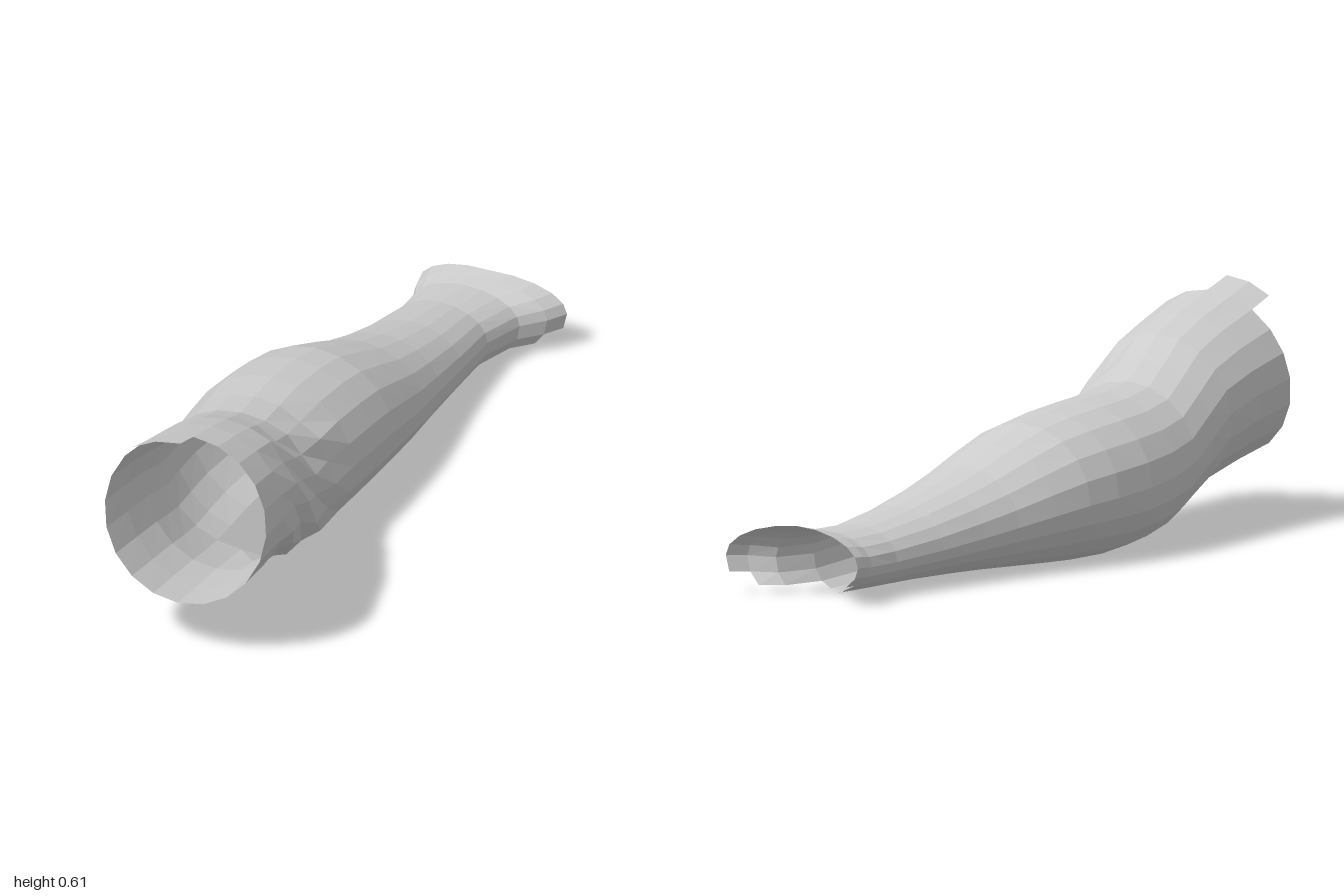
import * as THREE from 'three';

const SIDES = 20;

// Ring positions from the wide open end to the flared end
const ROWS = [0.95, 0.8, 0.66, 0.54, 0.42, 0.3, 0.17, 0.03, -0.08, -0.2, -0.32, -0.44, -0.6, -0.78, -0.9, -0.95, -0.975];

// Key sections: left x, right x, top y, middle y, bottom y
const SECTION_Z = [0.95, 0.66, 0.42, 0.17, -0.08, -0.32, -0.6, -0.9, -0.975];
const SECTIONS = [
  [-0.16, 0.305, 0.597, 0.38, 0.157],
  [-0.19, 0.25, 0.515, 0.325, 0.105],
  [-0.255, 0.19, 0.422, 0.23, 0.025],
  [-0.3, 0.167, 0.403, 0.195, 0.0],
  [-0.29, 0.155, 0.372, 0.175, 0.005],
  [-0.24, 0.13, 0.285, 0.14, 0.015],
  [-0.205, 0.095, 0.214, 0.11, 0.022],
  [-0.2, 0.11, 0.184, 0.1, 0.02],
  [-0.23, 0.197, 0.2, 0.11, 0.02],
];
const profile = new THREE.CubicInterpolant(SECTION_Z.map((z) => -z), SECTIONS.flat(), 5);

// Underside slot: from this z backwards, columns [from, to) are open
const SLOT = [[0.42, -1, 2], [0.03, -1, 3], [-0.2, -1, 2], [-0.78, -1, 3], [-0.9, -2, 3], [-0.95, -3, 4]];

function isOpen(z, j) {
  const step = SLOT.filter(([start]) => z <= start).pop();
  const column = j < SIDES / 2 ? j : j - SIDES;
  return step !== undefined && column >= step[1] && column < step[2];
}

// Point on a ring; column 0 is the underside, counted towards +x
function ringPoint(z, j) {
  const [left, right, top, mid, bottom] = profile.evaluate(-z);
  const angle = (j / SIDES) * Math.PI * 2;
  const s = Math.sin(angle), c = Math.cos(angle);
  // shallow wrinkles on the inner bend
  const wrinkled = z > 0.25 && z < 0.7 && j >= 3 && j <= 8;
  const k = wrinkled ? 1 + ((ROWS.indexOf(z) + j) % 2 ? -0.035 : 0.025) : 1;
  const sag = z <= 0.42 ? 0.05 * Math.max(0, s) * Math.max(0, c) : 0;
  const slant = 0.045 * THREE.MathUtils.clamp((z - 0.42) / 0.4, 0, 1);
  const flare = z < -0.96 ? 0.025 * Math.abs(s) : 0;
  return [
    (left + right) / 2 + ((right - left) / 2) * s * k,
    mid - c * (c > 0 ? mid - bottom : top - mid) * k - sag,
    z + slant * c - flare,
  ];
}

function meshFromQuads(name, points, quads, material) {
  const geometry = new THREE.BufferGeometry();
  geometry.setAttribute('position', new THREE.Float32BufferAttribute(points.flat(), 3));
  geometry.setIndex(quads.flatMap(([a, b, c, d]) => [a, c, b, b, c, d]));
  geometry.computeVertexNormals();
  const mesh = new THREE.Mesh(geometry, material);
  mesh.name = name;
  return mesh;
}

export function createModel() {
  const group = new THREE.Group();
  group.name = 'forearmShell';
  const material = new THREE.MeshStandardMaterial({
    color: 0xcccccc, flatShading: true, side: THREE.DoubleSide,
  });

  // Sleeve with a stepped slot along the underside
  const points = [], quads = [];
  ROWS.forEach((z, i) => {
    for (let j = 0; j < SIDES; j++) {
      points.push(ringPoint(z, j));
      if (i === ROWS.length - 1 || isOpen(z, j)) continue;
      const next = (j + 1) % SIDES, row = i * SIDES;
      quads.push([row + j, row + next, row + SIDES + j, row + SIDES + next]);
    }
  });
  group.add(meshFromQuads('sleeve', points, quads, material));

  // Tab reaching forward from the top of the open end
  const tabPoints = [], tabQuads = [];
  for (let j = 10; j <= 12; j++) {
    const [x, y, z] = ringPoint(ROWS[0], j);
    tabPoints.push([x + 0.01, y + 0.026, 1], [x, y, z]);
    const n = (j - 10) * 2;
    if (j < 12) tabQuads.push([n, n + 2, n + 1, n + 3]);
  }
  group.add(meshFromQuads('topTab', tabPoints, tabQuads, material));

  return group;
}
